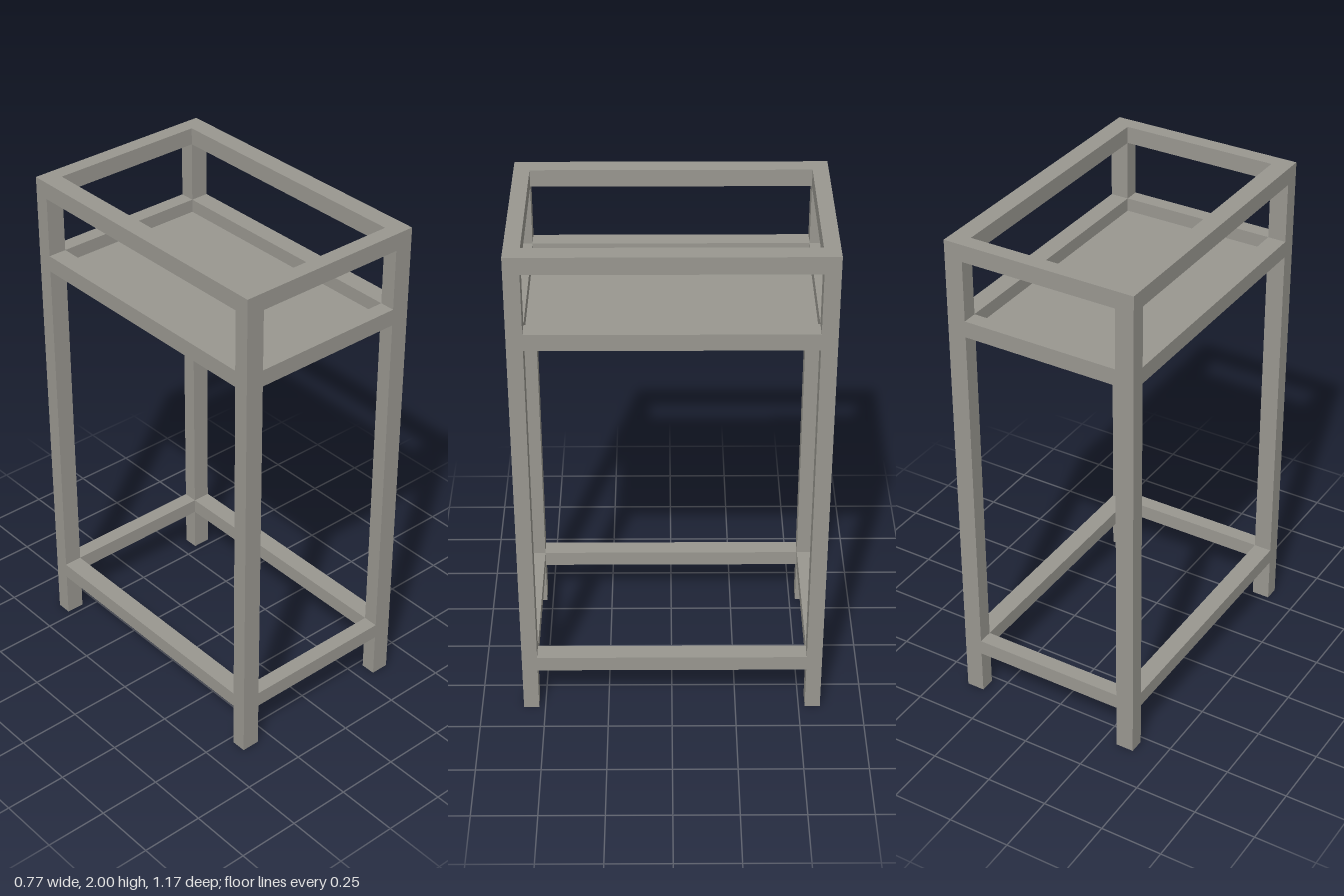
import * as THREE from 'three';

export function createModel() {
  const group = new THREE.Group();
  const metal = new THREE.MeshStandardMaterial({ color: 0x999790 });
  metal.name = 'warm grey metal';

  const H = 2, X = 0.383, Z = 0.585; // height and outer half sizes
  const tx = 0.073, tz = 0.06;       // bar thickness along x and z

  const box = (name, w, h, d, x, y, z) => {
    const mesh = new THREE.Mesh(new THREE.BoxGeometry(w, h, d), metal);
    mesh.name = name;
    mesh.position.set(x, y, z);
    group.add(mesh);
  };

  // Four corner legs
  for (const sx of [-1, 1])
    for (const sz of [-1, 1])
      box('leg', tx, H, tz, sx * (X - tx / 2), H / 2, sz * (Z - tz / 2));

  // A rectangular ring of rails between the legs at each level
  const ring = (name, bottom, top) => {
    const h = top - bottom, y = (top + bottom) / 2;
    for (const s of [-1, 1]) {
      box(name + 'EndRail', 2 * (X - tx), h, tz, 0, y, s * (Z - tz / 2));
      box(name + 'SideRail', tx, h, 2 * (Z - tz), s * (X - tx / 2), y, 0);
    }
  };
  ring('lower', 0.185, 0.247);
  ring('tray', 1.63, 1.695);
  ring('top', 1.933, H);

  // Tray floor, flush with the underside of its rails
  box('trayFloor', 2 * (X - tx), 0.012, 2 * (Z - tz), 0, 1.636, 0);

  return group;
}
